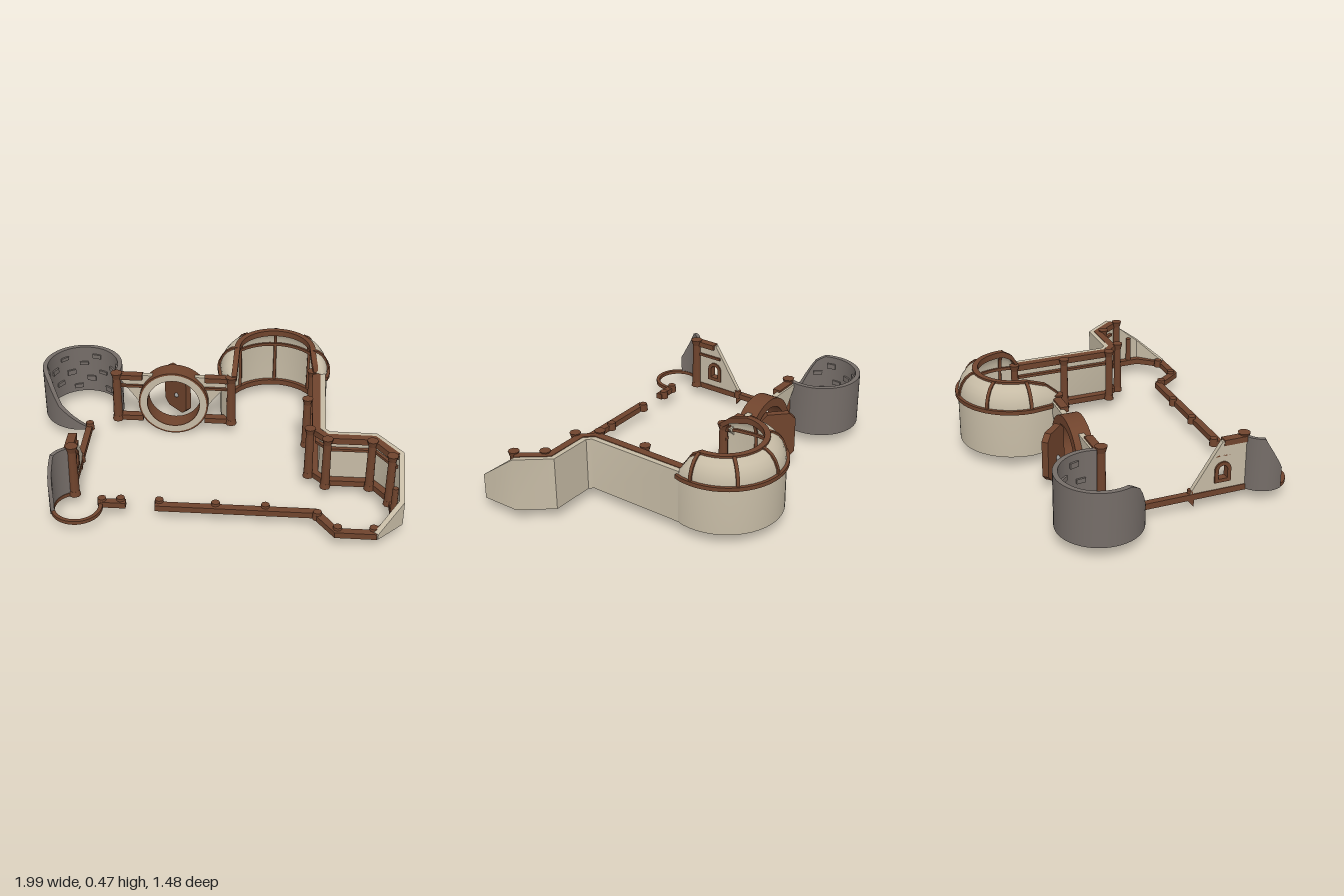
import * as THREE from 'three';
import { toCreasedNormals } from 'three/addons/utils/BufferGeometryUtils.js';

const material = (name, color) => new THREE.MeshStandardMaterial({ name, color, side: THREE.DoubleSide });

export function createModel() {
  const model = new THREE.Group();
  const wood = material('timber brown', 0x70442d);
  const plaster = material('plaster beige', 0xc6bba5);
  const stone = material('stone grey', 0x756d68);
  const metal = material('metal grey', 0x9a9a98);

  const add = (name, geometry, mat, x = 0, y = 0, z = 0) => {
    const mesh = new THREE.Mesh(geometry, mat);
    mesh.name = name;
    mesh.position.set(x, y, z);
    model.add(mesh);
    return mesh;
  };

  // Skin a row of equal cross-section loops and cap both ends
  const loft = (name, sections, mat, crease = 0.8) => {
    const n = sections[0].length, index = [];
    for (let i = 0; i < sections.length - 1; i++) {
      for (let j = 0; j < n; j++) {
        const a = i * n + j, b = i * n + (j + 1) % n;
        index.push(a, b, a + n, b, b + n, a + n);
      }
    }
    const last = (sections.length - 1) * n;
    for (let j = 0; j < n / 2 - 1; j++) {
      const p = j, q = j + 1, r = n - 2 - j, s = n - 1 - j;
      index.push(p, s, q, q, s, r, last + p, last + q, last + s, last + q, last + r, last + s);
    }
    const geometry = new THREE.BufferGeometry();
    geometry.setAttribute('position', new THREE.Float32BufferAttribute(sections.flat(2), 3));
    geometry.setIndex(index);
    return add(name, toCreasedNormals(geometry, crease), mat);
  };

  // Upright strip along plan points [x, z, bottom, top]
  const strip = (name, points, thickness, mat) => loft(name, points.map(([x, z, low, high], i) => {
    const a = points[Math.max(i - 1, 0)], b = points[Math.min(i + 1, points.length - 1)];
    const dx = b[0] - a[0], dz = b[1] - a[1], k = thickness / 2 / Math.hypot(dx, dz);
    const ox = dz * k, oz = -dx * k;
    return [[x + ox, low, z + oz], [x + ox, high, z + oz], [x - ox, high, z - oz], [x - ox, low, z - oz]];
  }), mat);
  const level = (points, low, high) => points.map(([x, z]) => [x, z, low, high]);

  const post = (name, x, z, high, radius = 0.024, low = 0.068) => {
    add(name, new THREE.CylinderGeometry(radius * 0.85, radius, high - low, 8), wood, x, (low + high) / 2, z);
    if (high > 0.3) {
      add(name + 'Head', new THREE.CylinderGeometry(radius * 1.25, radius * 0.85, 0.035, 8), wood, x, high - 0.012, z);
      add(name + 'Foot', new THREE.CylinderGeometry(radius, radius * 1.2, 0.03, 8), wood, x, low + 0.015, z);
    }
  };

  // Large round stone tower, broken down toward the front
  const cx = -0.77, cz = -0.34, tower = [];
  const fall = [[-203, 0.365], [-218, 0.33], [-240, 0.2], [-262, 0.14], [-285, 0.08]];
  const heightAt = (deg) => {
    if (deg >= fall[0][0]) return 0.365;
    const i = Math.max(1, fall.findIndex((f) => f[0] <= deg));
    const [a0, h0] = fall[i - 1], [a1, h1] = fall[i];
    return h0 + (h1 - h0) * (deg - a0) / (a1 - a0);
  };
  for (let i = 0; i <= 40; i++) {
    const deg = 18 - i * 303 / 40, a = deg * Math.PI / 180;
    tower.push([cx + 0.211 * Math.cos(a), cz + 0.211 * Math.sin(a), 0.07, heightAt(deg)]);
  }
  strip('stoneTowerWall', tower, 0.026, stone);
  for (let i = 0; i < 20; i++) {
    const deg = 5 - i * 11.5, a = deg * Math.PI / 180;
    const y = 0.11 + (i * 7 % 5) * 0.05;
    if (y > heightAt(deg) - 0.03) continue;
    const block = add('towerStone', new THREE.BoxGeometry(0.018, 0.02 + (i % 3) * 0.005, 0.05), stone,
      cx + 0.196 * Math.cos(a), y, cz + 0.196 * Math.sin(a));
    block.rotation.y = -a;
  }

  // Back wall in two halves around the round doorway
  const doorX = -0.245, doorY = 0.197;
  for (const s of [-1, 1]) {
    const end = s < 0 ? -0.57 : 0.09;
    const half = new THREE.Shape();
    half.moveTo(end, 0.07);
    if (s < 0) half.absarc(doorX, doorY, 0.17, 4.0, 1.98, true);
    else half.absarc(doorX, doorY, 0.17, -0.86, 1.16, false);
    half.lineTo(end, 0.355);
    add('backWall', new THREE.ExtrudeGeometry(half, { depth: 0.03, bevelEnabled: false, curveSegments: 16 }), plaster, 0, 0, -0.295);
    const inner = doorX + s * 0.175;
    for (const [low, high] of [[0.068, 0.1], [0.28, 0.295], [0.335, 0.365]]) {
      strip('backWallRail', level([[end, -0.262], [inner, -0.262]], low, high), high - low > 0.02 ? 0.045 : 0.02, wood);
    }
    post('backWallPost', s < 0 ? -0.565 : 0.08, -0.25, 0.37, 0.027);
  }

  // Round door frame with a pale front face
  const frame = new THREE.Shape().absarc(0, 0, 0.197, 0, Math.PI * 2);
  frame.holes.push(new THREE.Path().absarc(0, 0, 0.148, 0, Math.PI * 2, true));
  add('doorFrame', toCreasedNormals(new THREE.ExtrudeGeometry(frame, { depth: 0.1, bevelEnabled: false, curveSegments: 24 }), 0.6),
    wood, doorX, doorY, -0.33);
  add('doorFrameFace', new THREE.RingGeometry(0.15, 0.187, 48), plaster, doorX, doorY, -0.228);

  // Open door leaf with a knob
  const leaf = new THREE.Shape();
  [[-0.095, -0.1], [-0.06, -0.135], [0.06, -0.135], [0.095, -0.1], [0.095, 0.1], [0.06, 0.135], [-0.06, 0.135], [-0.095, 0.1]]
    .forEach(([x, y], i) => (i ? leaf.lineTo(x, y) : leaf.moveTo(x, y)));
  const door = add('door', new THREE.ExtrudeGeometry(leaf, { depth: 0.036, bevelEnabled: false }), wood, -0.223, 0.205, -0.4);
  door.rotation.y = -Math.PI / 4;
  add('doorKnob', new THREE.SphereGeometry(0.014, 12, 8), metal, -0.24, 0.17, -0.365);

  // Apse stations: floor point, rim point, rim height
  const stations = [
    { o: [0.06, -0.25], r: [0.095, -0.245], h: 0.375 },
    { o: [0.022, -0.31], r: [0.1, -0.31], h: 0.43 },
  ];
  for (let i = 0; i <= 24; i++) {
    const a = Math.PI * (1 + i / 24), c = Math.cos(a), s = Math.sin(a);
    stations.push({ o: [0.31 + 0.305 * c, -0.42 + 0.31 * s], r: [0.315 + 0.212 * c, -0.42 + 0.21 * s], h: 0.465 });
  }
  stations.push({ o: [0.612, -0.37], r: [0.535, -0.37], h: 0.435 }, { o: [0.6, -0.33], r: [0.55, -0.335], h: 0.375 });

  // Point on the apse skin: bend q from the wall head (0) to the rim (1), pushed outward by d
  const skin = ({ o, r, h }, q, d, y) => {
    const len = Math.hypot(o[0] - r[0], o[1] - r[1]);
    const c = Math.cos(q * Math.PI / 2), s = Math.sin(q * Math.PI / 2), k = c * (1 + d / len);
    return [r[0] + (o[0] - r[0]) * k, y ?? 0.335 + (h + d - 0.335) * s, r[1] + (o[1] - r[1]) * k];
  };
  const bends = [0, 0.2, 0.4, 0.6, 0.8, 1];
  const profile = (st, d) => [skin(st, 0, d, 0.07), ...bends.map((q) => skin(st, q, d))];
  loft('apseShell', stations.map((st) => [...profile(st, 0), ...profile(st, -0.02).reverse()]), plaster);
  strip('apseRim', stations.map(({ r, h }) => [r[0], r[1], h - 0.025, h + 0.008]), 0.03, wood);
  const ring = (name, d, low, high, t) => strip(name, stations.map((st) => {
    const p = skin(st, 0, d);
    return [p[0], p[2], low, high];
  }), t, wood);
  ring('apseOuterBand', 0.004, 0.328, 0.35, 0.022);
  ring('apseInnerBand', -0.025, 0.328, 0.345, 0.016);
  ring('apseBaseBeam', -0.026, 0.066, 0.098, 0.03);

  // Ribs over the dome and down its inner wall
  for (const i of [2, 8, 14, 20, 26]) {
    const st = stations[i], [dx, dz] = [st.o[0] - st.r[0], st.o[1] - st.r[1]];
    const k = 0.009 / Math.hypot(dx, dz);
    const shift = (p, s) => [p[0] - dz * k * s, p[1], p[2] + dx * k * s];
    loft('domeRib', bends.map((q) => {
      const outer = skin(st, q, 0.008), inner = skin(st, q, -0.03);
      return [shift(outer, -1), shift(outer, 1), shift(inner, 1), shift(inner, -1)];
    }), wood);
    const foot = skin(st, 0, -0.024);
    post('apseStud', foot[0], foot[2], 0.34 - 0.05, 0.01);
    add('apseStudTop', new THREE.CylinderGeometry(0.0085, 0.0085, 0.06, 8), wood, foot[0], 0.31, foot[2]);
  }

  // Right wall and bay, sloping down to the front
  strip('rightWall', [
    [0.588, -0.34, 0.07, 0.365], [0.588, 0.21, 0.07, 0.365], [0.62, 0.246, 0.07, 0.365], [0.86, 0.246, 0.07, 0.365],
    [0.983, 0.4, 0.07, 0.365], [0.986, 0.6, 0.07, 0.21], [0.86, 0.724, 0.07, 0.1],
  ], 0.028, plaster);
  const inside = [[0.552, -0.34], [0.552, 0.22], [0.61, 0.28], [0.85, 0.28], [0.955, 0.42]];
  strip('rightTopBeam', level(inside, 0.333, 0.368), 0.042, wood);
  strip('rightMiddleRail', level(inside.map(([x, z]) => [x + 0.008, z - 0.008]), 0.275, 0.29), 0.022, wood);
  strip('rightBaseBeam', level([...inside, [0.958, 0.59], [0.855, 0.712], [0.665, 0.712], [0.56, 0.565]], 0.065, 0.098), 0.042, wood);
  for (const [x, z] of [[0.53, -0.35], [0.505, -0.06], [0.52, 0.225], [0.61, 0.315], [0.84, 0.315], [0.935, 0.44]]) {
    post('rightWallPost', x, z, 0.37);
  }
  post('rightBayPost', 0.955, 0.53, 0.24, 0.018);

  // Low front sill with cut post stubs
  strip('frontSill', level([[-0.26, 0.563], [0.565, 0.563]], 0.065, 0.098), 0.04, wood);
  strip('frontSillShort', level([[-0.54, 0.555], [-0.412, 0.555]], 0.065, 0.098), 0.036, wood);
  for (const [x, z] of [[-0.24, 0.54], [0.05, 0.545], [0.305, 0.545], [-0.535, 0.55], [-0.44, 0.54], [0.57, 0.585], [0.67, 0.695], [0.85, 0.69]]) {
    post('postStub', x, z, 0.112, 0.026);
  }

  // Small front tower: timber ring and a broken stone wall
  const arc = (r, from, to, n, top) => Array.from({ length: n + 1 }, (_, i) => {
    const a = (from + (to - from) * i / n) * Math.PI / 180;
    return [-0.66 + r * Math.cos(a), 0.595 + r * Math.sin(a), 0.068, top(i / n)];
  });
  strip('smallTowerBase', arc(0.123, -22, 250, 32, () => 0.088), 0.02, wood);
  strip('smallTowerWall', arc(0.126, 246, 155, 14, (t) => (t < 0.5 ? 0.365 : 0.365 - (t - 0.5) * 0.36)), 0.02, stone);

  // Left wall with a sloping end and an arched window
  const windowPath = (path, w, low, spring) => {
    path.moveTo(0.345 - w, low);
    path.lineTo(0.345 + w, low);
    path.lineTo(0.345 + w, spring);
    path.absarc(0.345, spring, w, 0, Math.PI, false);
    path.closePath();
    return path;
  };
  const side = (name, shape, depth, mat, x) => {
    const mesh = add(name, new THREE.ExtrudeGeometry(shape, { depth, bevelEnabled: false, curveSegments: 8 }), mat, x);
    mesh.rotation.y = -Math.PI / 2;
  };
  const leftWall = new THREE.Shape();
  [[0.17, 0.07], [0.48, 0.07], [0.48, 0.36], [0.34, 0.36], [0.17, 0.1]]
    .forEach(([z, y], i) => (i ? leftWall.lineTo(z, y) : leftWall.moveTo(z, y)));
  leftWall.holes.push(windowPath(new THREE.Path(), 0.03, 0.15, 0.205));
  side('leftWall', leftWall, 0.025, plaster, -0.698);
  const windowFrame = windowPath(new THREE.Shape(), 0.045, 0.135, 0.205);
  windowFrame.holes.push(windowPath(new THREE.Path(), 0.025, 0.155, 0.205));
  side('windowFrame', windowFrame, 0.042, wood, -0.69);
  strip('leftBaseBeam', level([[-0.712, -0.13], [-0.71, 0.48]], 0.062, 0.095), 0.034, wood);
  strip('leftTopBeam', level([[-0.705, 0.35], [-0.705, 0.48]], 0.337, 0.368), 0.045, wood);
  strip('leftMiddleRail', level([[-0.705, 0.305], [-0.705, 0.48]], 0.278, 0.293), 0.036, wood);
  post('leftWallPost', -0.69, 0.475, 0.37, 0.027);
  post('leftBackStub', -0.71, -0.135, 0.112, 0.026);
  post('leftMiddleStub', -0.705, 0.18, 0.112, 0.022);

  // Pointed strut end under the left beam
  const strut = new THREE.Shape();
  strut.moveTo(0.19, 0.018);
  strut.lineTo(0.19, 0.075);
  strut.lineTo(0.145, 0.075);
  side('strutEnd', strut, 0.025, wood, -0.7);

  return model;
}
